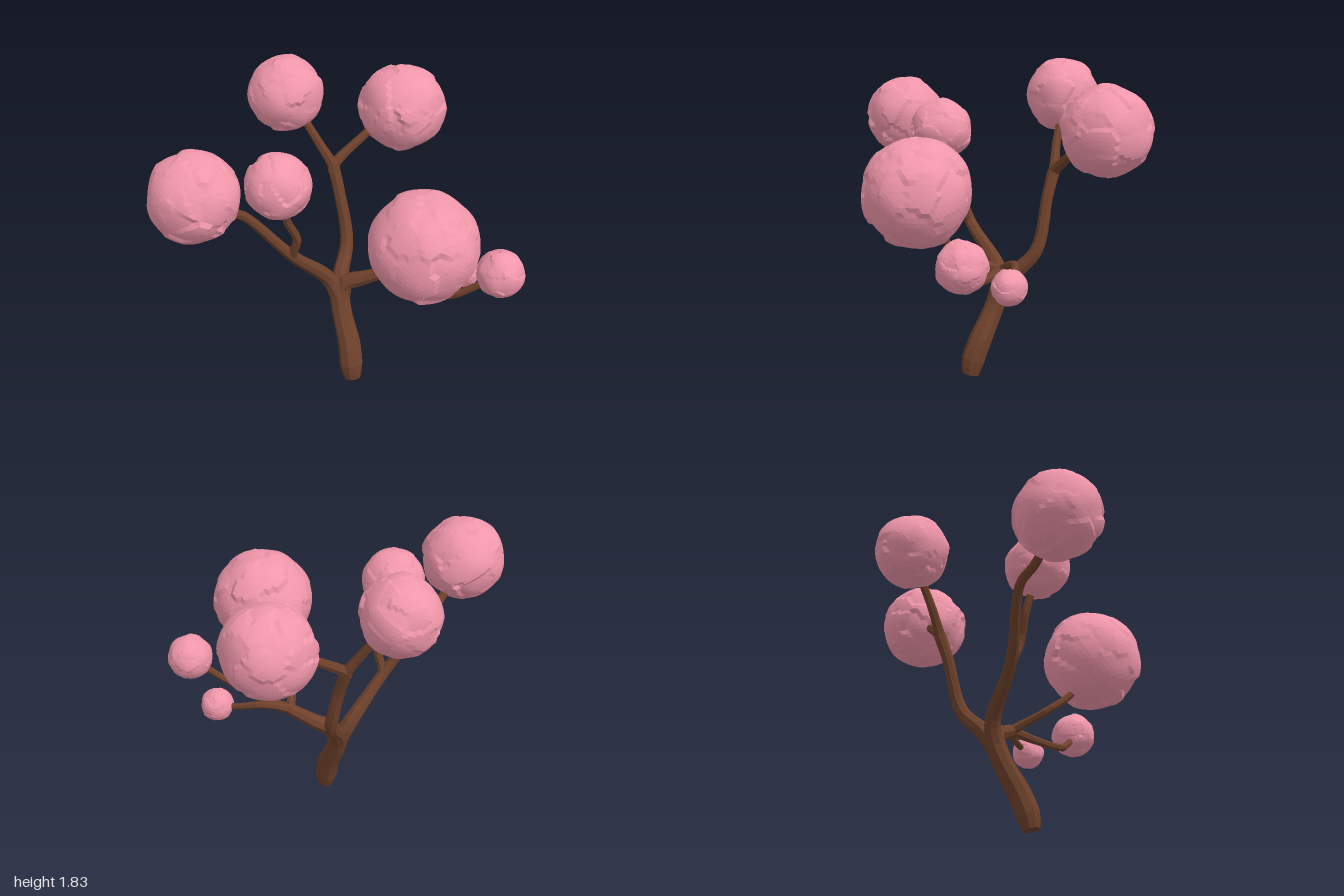
import * as THREE from 'three';
import { mergeVertices } from 'three/addons/utils/BufferGeometryUtils.js';

const bark = new THREE.MeshStandardMaterial({ color: 0x6e412b, flatShading: true });
const pink = new THREE.MeshStandardMaterial({ color: 0xf096aa, flatShading: true });

function seeded(seed) {
  let s = seed;
  return () => (s = (s * 16807) % 2147483647) / 2147483647;
}

// Tapered, capped limb swept through points; radii are spread evenly along it
function limb(name, points, radii, sides = 7) {
  const curve = new THREE.CatmullRomCurve3(points.map(p => new THREE.Vector3(...p)), false, 'centripetal');
  const n = Math.max(8, Math.round(curve.getLength() / 0.045));
  const { normals, binormals } = curve.computeFrenetFrames(n);
  const pos = [], index = [];
  for (let i = 0; i <= n; i++) {
    const f = (i / n) * (radii.length - 1), k = Math.min(Math.floor(f), radii.length - 2);
    const r = THREE.MathUtils.lerp(radii[k], radii[k + 1], f - k);
    const c = curve.getPointAt(i / n);
    for (let j = 0; j < sides; j++) {
      const a = (j / sides) * Math.PI * 2;
      const v = c.clone().addScaledVector(normals[i], r * Math.cos(a)).addScaledVector(binormals[i], r * Math.sin(a));
      pos.push(v.x, v.y, v.z);
    }
  }
  const start = (n + 1) * sides, last = n * sides;
  pos.push(...curve.getPoint(0).toArray(), ...curve.getPoint(1).toArray());
  for (let j = 0; j < sides; j++) {
    const j2 = (j + 1) % sides;
    for (let i = 0; i < n; i++) {
      const a = i * sides + j, b = i * sides + j2;
      index.push(a, b, a + sides, b, b + sides, a + sides);
    }
    index.push(start, j2, j, start + 1, last + j, last + j2);
  }
  const geo = new THREE.BufferGeometry();
  geo.setAttribute('position', new THREE.Float32BufferAttribute(pos, 3));
  geo.setIndex(index);
  geo.computeVertexNormals();
  const mesh = new THREE.Mesh(geo, bark);
  mesh.name = name;
  return mesh;
}

// Blossom ball: a sphere broken into tilted, overlapping patches
function blossom(name, [x, y, z], r, seed) {
  const rand = seeded(seed * 7919 + 13);
  const dir = () => new THREE.Vector3(rand() - 0.5, rand() - 0.5, rand() - 0.5).normalize();
  const patches = Array.from({ length: 45 }, () => ({ d: dir(), tilt: dir(), lift: (rand() - 0.5) * 0.03 }));
  let geo = new THREE.IcosahedronGeometry(1, 10);
  geo.deleteAttribute('normal');
  geo.deleteAttribute('uv');
  geo = mergeVertices(geo, 1e-4);
  const p = geo.attributes.position, v = new THREE.Vector3();
  for (let i = 0; i < p.count; i++) {
    v.fromBufferAttribute(p, i).normalize();
    let best = patches[0];
    for (const q of patches) if (q.d.dot(v) > best.d.dot(v)) best = q;
    const slope = best.tilt.dot(v) - best.tilt.dot(best.d);
    const wave = 0.014 * Math.sin(5 * v.x + seed) * Math.sin(6 * v.y + 2 * seed) + 0.01 * Math.sin(7 * v.z - seed);
    v.multiplyScalar(r * (0.99 + best.lift + 0.08 * slope + wave));
    p.setXYZ(i, v.x, v.y, v.z);
  }
  geo.computeVertexNormals();
  const mesh = new THREE.Mesh(geo, pink);
  mesh.name = name;
  mesh.position.set(x, y, z);
  return mesh;
}

export function createModel() {
  const tree = new THREE.Group();
  tree.name = 'blossomTree';

  // Centres and radii of the blossom balls
  const balls = {
    leftBack: [[-0.385, 1.615, -0.40], 0.218],
    leftFront: [[0.425, 1.178, 0.495], 0.297],
    rightOuter: [[-0.76, 1.46, 0.54], 0.242],
    rightInner: [[-0.35, 1.42, 0.335], 0.182],
    back: [[0.285, 1.475, -0.545], 0.255],
    leftOuter: [[0.86, 0.875, 0.285], 0.136],
    leftSmall: [[0.67, 0.712, 0.03], 0.098],
  };
  const blossoms = new THREE.Group();
  blossoms.name = 'blossoms';
  Object.entries(balls).forEach(([name, [c, r]], i) => blossoms.add(blossom(name + 'Blossom', c, r, i + 1)));
  tree.add(blossoms);

  // Points shared where limbs fork
  const crotch = [-0.045, 0.46, 0.02];
  const backFork = [-0.105, 1.19, -0.31];
  const rightFork = [-0.31, 0.87, 0.17];
  const leftFork = [0.235, 0.69, 0.03];

  const wood = new THREE.Group();
  wood.name = 'wood';
  wood.add(
    limb('trunk', [[0.037, 0.015, 0.192], [0.03, 0.1, 0.175], [0.015, 0.22, 0.13], [-0.035, 0.4, 0.045], [-0.06, 0.58, -0.015]],
      [0.05, 0.07, 0.07, 0.068, 0.064, 0.06, 0.06, 0.062, 0.05], 9),
    // Back limb and its two forks
    limb('backBranch', [crotch, [-0.05, 0.58, -0.06], [-0.02, 0.74, -0.2], [-0.07, 1.05, -0.27], backFork],
      [0.055, 0.048, 0.04, 0.036, 0.034, 0.036], 8),
    limb('backTwig', [[-0.1, 1.16, -0.3], backFork, [0.08, 1.35, -0.43], [0.19, 1.43, -0.5]], [0.036, 0.028, 0.026, 0.024]),
    limb('leftBackTwig', [[-0.1, 1.16, -0.3], backFork, [-0.19, 1.33, -0.335], [-0.3, 1.5, -0.38]], [0.036, 0.028, 0.025, 0.024]),
    // Limb on the model's right and its fork
    limb('rightBranch', [crotch, [-0.11, 0.6, 0.01], rightFork, [-0.56, 1.2, 0.285], [-0.63, 1.26, 0.38], [-0.71, 1.37, 0.48]],
      [0.055, 0.045, 0.036, 0.032, 0.028, 0.026, 0.024], 8),
    limb('rightTwig', [[-0.3, 0.84, 0.155], [-0.3, 0.9, 0.185], [-0.272, 1.01, 0.215], [-0.32, 1.15, 0.255], [-0.335, 1.33, 0.31]],
      [0.026, 0.026, 0.024, 0.023, 0.022]),
    // Limb on the model's left and its three forks
    limb('leftBranch', [crotch, [-0.02, 0.57, 0], [0.1, 0.625, 0.012], leftFork], [0.055, 0.052, 0.042, 0.036], 8),
    limb('leftFrontTwig', [leftFork, [0.234, 0.74, 0.14], [0.235, 0.8, 0.26], [0.31, 0.9, 0.36], [0.37, 1.0, 0.42]],
      [0.03, 0.023, 0.022, 0.022]),
    limb('leftOuterTwig', [leftFork, [0.4, 0.682, 0.135], [0.58, 0.69, 0.255], [0.7, 0.755, 0.275], [0.82, 0.84, 0.285]],
      [0.032, 0.024, 0.022, 0.02]),
    limb('leftSmallTwig', [leftFork, [0.31, 0.735, -0.005], [0.4, 0.76, -0.03], [0.55, 0.72, 0], [0.63, 0.71, 0.02]],
      [0.03, 0.024, 0.021, 0.018]),
  );
  tree.add(wood);
  return tree;
}
